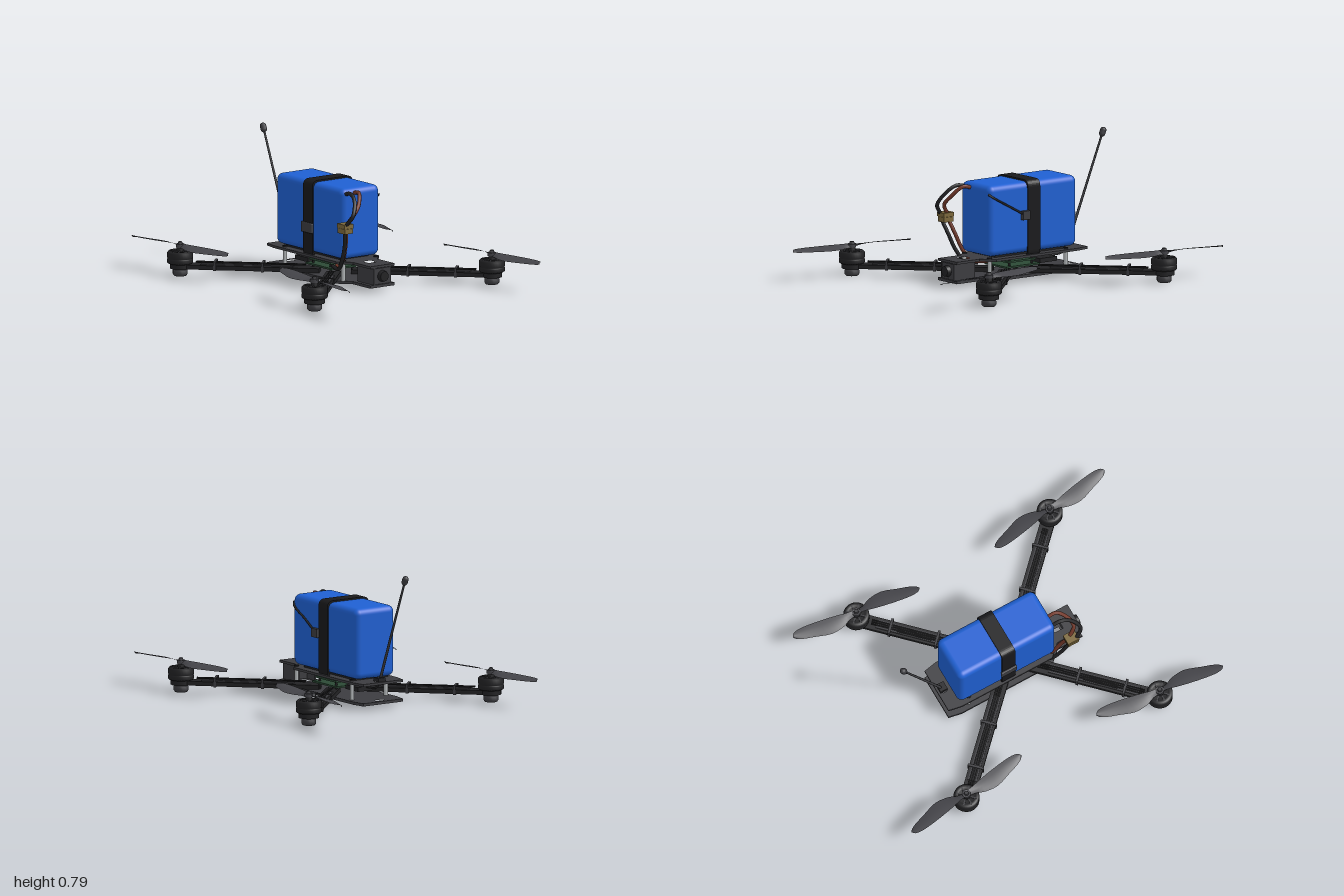
import * as THREE from 'three';
import { RoundedBoxGeometry } from 'three/addons/geometries/RoundedBoxGeometry.js';

const mat = (name, color, side = THREE.FrontSide) => {
  const m = new THREE.MeshStandardMaterial({ color, side });
  m.name = name;
  return m;
};

export function createModel() {
  const M = {
    carbon: mat('carbon grey', 0x3c3c40),
    black: mat('matte black', 0x222224),
    prop: mat('propeller grey', 0x45454a, THREE.DoubleSide),
    blue: mat('battery blue', 0x1f60d2),
    strap: mat('strap black', 0x19191b),
    silver: mat('silver', 0xb4b8ba),
    red: mat('wire red brown', 0x74392a),
    tan: mat('connector tan', 0x7d693c),
    green: mat('board green', 0x2c4a36),
  };
  const root = new THREE.Group();
  root.name = 'quadcopter';

  const add = (parent, name, geo, material, x = 0, y = 0, z = 0) => {
    const m = new THREE.Mesh(geo, material);
    m.name = name;
    m.position.set(x, y, z);
    parent.add(m);
    return m;
  };
  const box = (parent, name, w, h, d, material, x, y, z) =>
    add(parent, name, new THREE.BoxGeometry(w, h, d), material, x, y, z);
  const tube = (name, pts, r, material) => {
    const curve = new THREE.CatmullRomCurve3(pts.map(p => new THREE.Vector3(...p)));
    return add(root, name, new THREE.TubeGeometry(curve, pts.length * 8, r, 8), material);
  };
  const rectHole = (x0, x1, h) => new THREE.Path([
    new THREE.Vector2(x0, -h), new THREE.Vector2(x0, h),
    new THREE.Vector2(x1, h), new THREE.Vector2(x1, -h)]);

  // Frame plates with tapered ends and slots
  const half = [[-0.46, 0.135], [-0.38, 0.15], [0.2, 0.15], [0.27, 0.085], [0.43, 0.085]];
  const outline = [...half, ...half.map(([x, z]) => [x, -z]).reverse()];
  const plate = (name, top, thick) => {
    const s = new THREE.Shape(outline.map(p => new THREE.Vector2(...p)));
    s.holes.push(rectHole(0.285, 0.34, 0.027), rectHole(-0.435, -0.41, 0.03));
    const g = new THREE.ExtrudeGeometry(s, { depth: thick, bevelEnabled: false });
    add(root, name, g.rotateX(Math.PI / 2), M.carbon, 0, top, 0);
  };
  plate('bottomPlate', 0.043, 0.016);
  plate('topPlate', 0.152, 0.014);

  // Standoffs between the plates
  for (const x of [-0.32, 0.22]) for (const z of [-0.115, 0.115]) {
    add(root, 'standoff', new THREE.CylinderGeometry(0.012, 0.012, 0.1, 12), M.silver, x, 0.09, z);
    add(root, 'standoffScrew', new THREE.CylinderGeometry(0.014, 0.014, 0.008, 12), M.black, x, 0.155, z);
  }

  // Camera cage and lens
  for (const z of [-0.055, 0.055]) box(root, 'cameraSidePlate', 0.15, 0.096, 0.01, M.carbon, 0.355, 0.09, z);
  box(root, 'cameraBody', 0.075, 0.09, 0.1, M.carbon, 0.39, 0.09, 0);
  const lens = new THREE.CylinderGeometry(0.028, 0.033, 0.026, 24).rotateZ(-Math.PI / 2);
  add(root, 'cameraLens', lens, M.black, 0.438, 0.09, 0);

  // Electronics stack
  box(root, 'speedControlBoard', 0.24, 0.01, 0.2, M.green, -0.03, 0.084, 0);
  box(root, 'flightBoard', 0.2, 0.01, 0.18, M.green, -0.03, 0.112, 0);
  box(root, 'processor', 0.06, 0.01, 0.06, M.black, -0.03, 0.121, 0);
  box(root, 'videoTransmitter', 0.12, 0.025, 0.12, M.black, -0.24, 0.09, 0);
  for (const x of [-0.11, 0.05]) for (const z of [-0.075, 0.075])
    add(root, 'stackPost', new THREE.CylinderGeometry(0.007, 0.007, 0.085, 8), M.black, x, 0.085, z);

  // Propeller: two swept blades, each a sheet between two edge curves
  const lead = new THREE.SplineCurve([[0, -0.015], [0.05, -0.02], [0.1, -0.033], [0.18, -0.05],
    [0.27, -0.065], [0.33, -0.07], [0.365, -0.064], [0.38, -0.048]].map(p => new THREE.Vector2(...p)));
  const trail = new THREE.SplineCurve([[0, 0.015], [0.05, 0.018], [0.1, 0.037], [0.18, 0.042],
    [0.27, 0.011], [0.33, -0.01], [0.365, -0.028], [0.38, -0.046]].map(p => new THREE.Vector2(...p)));
  const blade = (dir, flip) => {
    const nu = 21, nv = 4;
    const g = new THREE.PlaneGeometry(1, 1, nu, nv);
    const p = g.attributes.position;
    for (let i = 0; i < p.count; i++) {
      const u = (i % (nu + 1)) / nu, v = Math.floor(i / (nu + 1)) / nv;
      const a = lead.getPoint(u), b = trail.getPoint(u);
      const y = (0.5 - v) * 0.022 * (1 - 0.5 * u) + 0.004 * Math.sin(v * Math.PI);
      p.setXYZ(i, -dir * (a.x + (b.x - a.x) * v), y, dir * flip * (a.y + (b.y - a.y) * v));
    }
    g.computeVertexNormals();
    return g;
  };

  // Motor profile: foot, stator base, bell with chamfers, hub
  const lathe = (pts, seg) => new THREE.LatheGeometry(pts.map(p => new THREE.Vector2(...p)), seg);
  const motorParts = [
    ['motorFoot', lathe([[0, 0], [0.034, 0], [0.042, 0.01], [0.042, 0.03], [0.034, 0.04], [0, 0.04]], 16), M.carbon],
    ['motorBase', new THREE.CylinderGeometry(0.055, 0.05, 0.03, 24).translate(0, 0.056, 0), M.black],
    ['motorBell', lathe([[0, 0.07], [0.066, 0.07], [0.073, 0.076], [0.073, 0.094], [0.07, 0.097], [0.07, 0.101],
      [0.073, 0.104], [0.073, 0.132], [0.064, 0.142], [0.05, 0.142], [0.045, 0.136], [0, 0.136]], 32), M.black],
    ['motorShaft', new THREE.CylinderGeometry(0.018, 0.022, 0.03, 16).translate(0, 0.15, 0), M.black],
    ['propHub', new THREE.CylinderGeometry(0.024, 0.024, 0.02, 20).translate(0, 0.17, 0), M.prop],
    ['propNut', new THREE.CylinderGeometry(0.012, 0.016, 0.014, 6).translate(0, 0.186, 0), M.carbon],
  ];

  // Four diagonal arms with motors and propellers
  const C = 0.622;
  for (const sx of [-1, 1]) for (const sz of [-1, 1]) {
    const arm = new THREE.Group();
    arm.name = 'arm';
    arm.rotation.y = Math.atan2(-sz, sx);
    root.add(arm);
    const start = 0.09, end = C * Math.SQRT2;
    box(arm, 'armBeam', end - start, 0.024, 0.08, M.black, (start + end) / 2, 0.055, 0);
    box(arm, 'armCover', 0.52, 0.008, 0.05, M.carbon, 0.5, 0.07, 0);
    box(arm, 'speedController', 0.2, 0.008, 0.036, M.black, 0.54, 0.077, 0);
    add(arm, 'motorMount', new THREE.CylinderGeometry(0.058, 0.058, 0.026, 24), M.black, end, 0.055, 0);
    for (const z of [-0.012, 0, 0.012]) {
      const w = new THREE.CylinderGeometry(0.004, 0.004, 0.62, 6).rotateZ(Math.PI / 2);
      add(arm, 'motorWire', w, M.black, 0.48, 0.081, z);
    }
    // Cable ties around the arm
    for (const r of [0.41, 0.68]) {
      for (const y of [0.041, 0.089]) box(arm, 'cableTie', 0.014, 0.005, 0.09, M.carbon, r, y, 0);
      for (const z of [-0.044, 0.044]) box(arm, 'cableTieSide', 0.014, 0.05, 0.005, M.carbon, r, 0.065, z);
    }

    const motor = new THREE.Group();
    motor.name = 'motor';
    motor.position.set(sx * C, 0, sz * C);
    root.add(motor);
    for (const [name, geo, material] of motorParts) add(motor, name, geo, material);
    for (let i = 0; i < 8; i++) {
      const spoke = box(motor, 'bellSpoke', 0.036, 0.006, 0.008, M.carbon, 0, 0.14, 0);
      const a = i * Math.PI / 4;
      spoke.position.set(Math.cos(a) * 0.04, 0.14, Math.sin(a) * 0.04);
      spoke.rotation.y = -a;
    }
    for (const dir of [-1, 1]) add(motor, 'propBlade', blade(dir, sx * sz), M.prop, 0, 0.17, 0);
  }

  // Battery with strap and buckle
  add(root, 'battery', new RoundedBoxGeometry(0.625, 0.402, 0.268, 5, 0.036), M.blue, -0.077, 0.364, 0);
  box(root, 'batteryPad', 0.5, 0.014, 0.2, M.black, -0.08, 0.158, 0);
  const roundRect = (path, w, y0, y1, r) => {
    path.moveTo(-w + r, y0).lineTo(w - r, y0).quadraticCurveTo(w, y0, w, y0 + r);
    path.lineTo(w, y1 - r).quadraticCurveTo(w, y1, w - r, y1).lineTo(-w + r, y1);
    path.quadraticCurveTo(-w, y1, -w, y1 - r).lineTo(-w, y0 + r).quadraticCurveTo(-w, y0, -w + r, y0);
    return path;
  };
  const band = roundRect(new THREE.Shape(), 0.142, 0.136, 0.574, 0.04);
  band.holes.push(roundRect(new THREE.Path(), 0.132, 0.144, 0.564, 0.036));
  const bandGeo = new THREE.ExtrudeGeometry(band, { depth: 0.086, bevelEnabled: false, curveSegments: 8 });
  add(root, 'batteryStrap', bandGeo.rotateY(Math.PI / 2), M.strap, -0.118, 0, 0);
  add(root, 'strapBuckle', new RoundedBoxGeometry(0.1, 0.058, 0.016, 2, 0.006), M.carbon, -0.077, 0.303, 0.146);

  // Balance lead on the rear side
  tube('balanceLead', [[0.235, 0.52, -0.12], [0.21, 0.5, -0.138], [0.1, 0.44, -0.14], [0, 0.385, -0.146]], 0.006, M.black);
  box(root, 'balancePlug', 0.05, 0.05, 0.022, M.carbon, -0.01, 0.38, -0.148);

  // Power leads and connector
  box(root, 'powerConnectorUpper', 0.072, 0.024, 0.062, M.tan, 0.31, 0.377, 0.17);
  box(root, 'powerConnectorLower', 0.066, 0.028, 0.056, M.tan, 0.31, 0.349, 0.17);
  [[-0.014, M.red], [0.014, M.black]].forEach(([o, m]) => {
    tube('batteryLead', [[0.22, 0.535, 0.075 + o * 2], [0.28, 0.545, 0.08 + o * 2], [0.335, 0.5 + o, 0.11 + o],
      [0.36 + o, 0.44, 0.15 + o], [0.325 + o, 0.385, 0.17 + o]], 0.011, m);
    tube('mainLead', [[0.31 + o, 0.34, 0.17 + o], [0.285 + o, 0.27, 0.15 + o], [0.24 + o, 0.17, 0.135 + o],
      [0.19 + o, 0.11, 0.12 + o], [0.08, 0.1, 0.07 + o]], 0.011, m);
  });

  // Antenna, its mount and feed wire
  box(root, 'antennaMount', 0.045, 0.022, 0.05, M.black, -0.425, 0.162, 0);
  tube('antennaFeed', [[-0.44, 0.19, 0], [-0.425, 0.15, 0], [-0.39, 0.11, 0], [-0.29, 0.1, 0]], 0.006, M.black);
  const antenna = new THREE.Group();
  antenna.name = 'antenna';
  antenna.position.set(-0.437, 0.18, 0);
  antenna.rotation.z = Math.atan2(0.235, 0.58);
  root.add(antenna);
  add(antenna, 'antennaRod', new THREE.CylinderGeometry(0.006, 0.008, 0.6, 8), M.carbon, 0, 0.3, 0);
  add(antenna, 'antennaCap', new THREE.CapsuleGeometry(0.018, 0.02, 4, 12), M.carbon, 0, 0.626, 0);

  return root;
}
